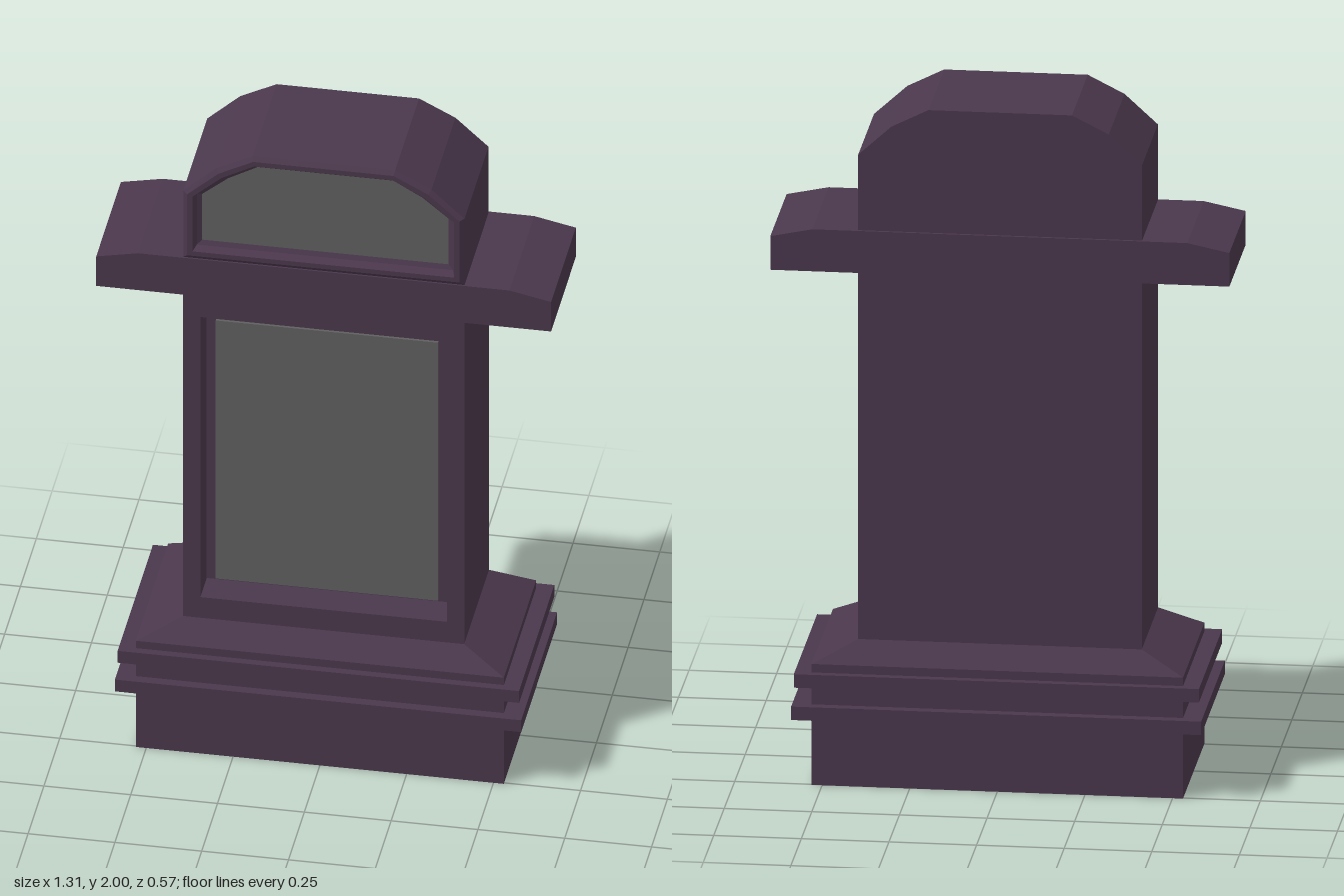
import * as THREE from 'three';

const stone = new THREE.MeshStandardMaterial({ color: 0x4a374c, name: 'plumStone' });
const slate = new THREE.MeshStandardMaterial({ color: 0x5f5f5f, name: 'greyPanel' });

function named(name, geometry, material) {
  const mesh = new THREE.Mesh(geometry, material);
  mesh.name = name;
  return mesh;
}

// Flat-faced skin through convex loops; group 0 is the skin, group 1 the end cap
function loft(loops) {
  const out = [];
  const tri = (...points) => points.forEach((p) => out.push(...p));
  const n = loops[0].length;
  for (let k = 0; k < loops.length - 1; k++) {
    const a = loops[k], b = loops[k + 1];
    for (let i = 0; i < n; i++) {
      const j = (i + 1) % n;
      tri(a[i], a[j], b[j]);
      tri(a[i], b[j], b[i]);
    }
  }
  const first = loops[0], last = loops[loops.length - 1];
  for (let i = 1; i < n - 1; i++) tri(first[0], first[i + 1], first[i]);
  const skinCount = out.length / 3;
  for (let i = 1; i < n - 1; i++) tri(last[0], last[i], last[i + 1]);
  const g = new THREE.BufferGeometry();
  g.setAttribute('position', new THREE.Float32BufferAttribute(out, 3));
  g.addGroup(0, skinCount, 0);
  g.addGroup(skinCount, out.length / 3 - skinCount, 1);
  g.computeVertexNormals();
  return g;
}

// Horizontal rectangle loop
const rect = (w, d, y) => [[w, y, d], [w, y, -d], [-w, y, -d], [-w, y, d]];

// Arched outline shrunk inward by t, at depth z
function arch(t, z) {
  const right = [
    [0.405 - t, 1.635 + t],
    [0.405 - t, 1.86 - 0.4 * t],
    [0.31 - 0.6 * t, 1.947 - 0.9 * t],
    [0.205 - 0.2 * t, 2 - t],
  ];
  const left = right.map(([x, y]) => [-x, y]).reverse();
  return [...right, ...left].map(([x, y]) => [x, y, z]);
}

// Pillar silhouette with its two side arms
function pillarShape() {
  const half = [[0.405, 0.42], [0.405, 1.51], [0.655, 1.51], [0.655, 1.61], [0.535, 1.635]];
  const mirrored = half.map(([x, y]) => [-x, y]).reverse();
  return new THREE.Shape([...half, ...mirrored].map(([x, y]) => new THREE.Vector2(x, y)));
}

function slab(shape, z0, z1) {
  const g = new THREE.ExtrudeGeometry(shape, { depth: z1 - z0, bevelEnabled: false });
  return g.translate(0, 0, z0);
}

export function createModel() {
  const model = new THREE.Group();
  model.name = 'monument';

  // Plinth with sloped shoulders and a hollowed underside
  model.add(named('plinth', loft([
    rect(0.405, 0.195, 0.08),
    rect(0.53, 0.255, 0),
    rect(0.53, 0.255, 0.36),
    rect(0.405, 0.195, 0.42),
  ]), [stone, stone]));

  // Two ledges around the plinth
  for (const [name, w, d, y] of [['lowerLedge', 0.585, 0.283, 0.22], ['upperLedge', 0.578, 0.278, 0.315]]) {
    const ledge = named(name, new THREE.BoxGeometry(w * 2, 0.04, d * 2), stone);
    ledge.position.y = y;
    model.add(ledge);
  }

  // Pillar: solid back and a front layer with a rectangular recess
  model.add(named('pillarBack', slab(pillarShape(), -0.195, 0.095), stone));
  const front = pillarShape();
  front.holes.push(new THREE.Path([[-0.355, 0.49], [-0.355, 1.44], [0.355, 1.44], [0.355, 0.49]]
    .map(([x, y]) => new THREE.Vector2(x, y))));
  model.add(named('pillarFront', slab(front, 0.095, 0.195), stone));

  // Grey tablet set inside the recess
  const tablet = named('tablet', new THREE.BoxGeometry(0.64, 0.875, 0.008), slate);
  tablet.position.set(0, 0.9625, 0.141);
  model.add(tablet);

  // Arched crown with a bevelled rim around a sunken grey face
  model.add(named('crown', loft([
    arch(0, -0.187),
    arch(0, 0.19),
    arch(0.013, 0.2),
    arch(0.028, 0.2),
    arch(0.036, 0.175),
    arch(0.05, 0.168),
  ]), [stone, slate]));

  return model;
}
